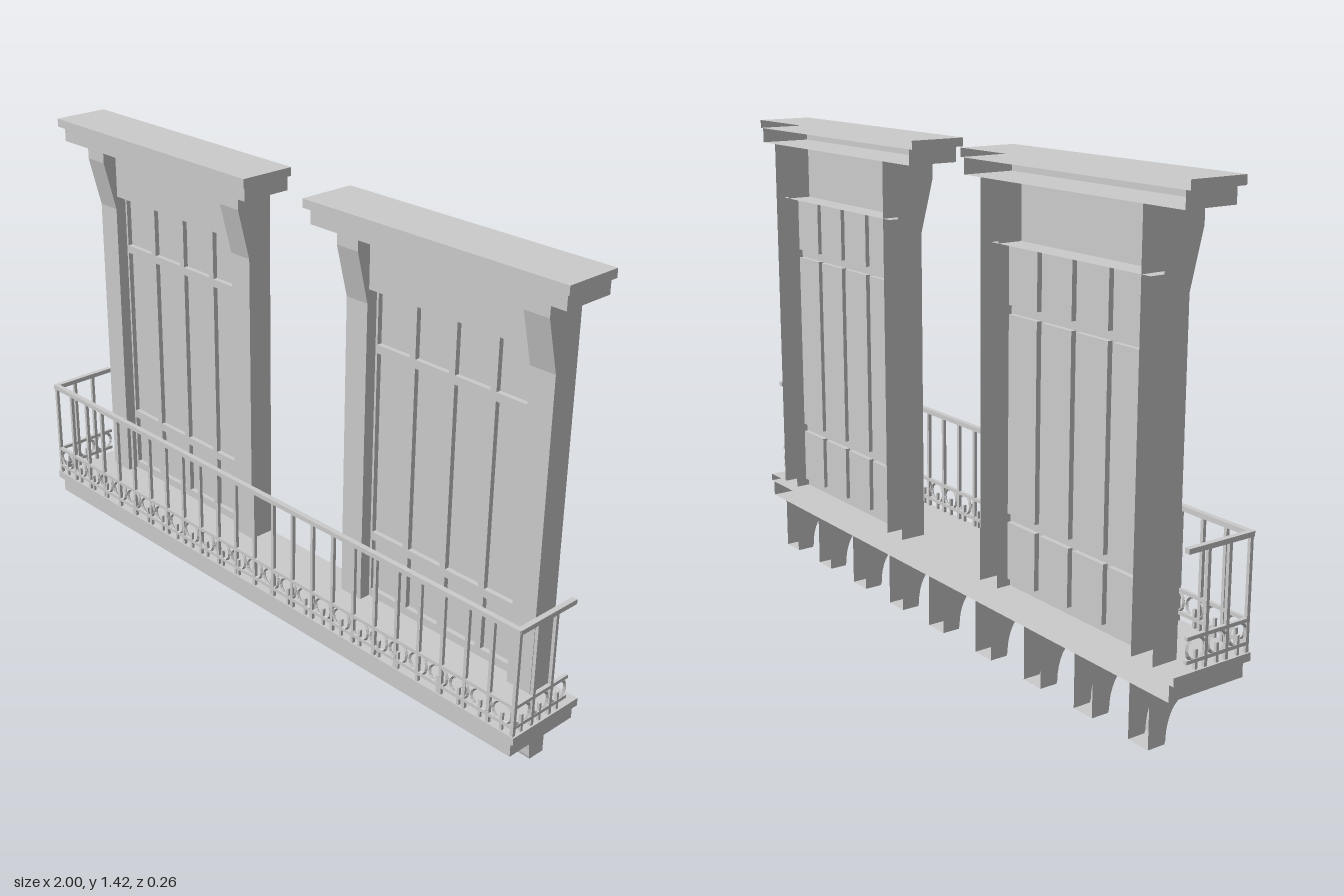
import * as THREE from 'three';

const BACK = -0.13; // wall plane: everything built against it is open at the back
const mat = new THREE.MeshStandardMaterial({ color: 0xcccccc, flatShading: true, side: THREE.DoubleSide });

function add(parent, name, geometry) {
  const mesh = new THREE.Mesh(geometry, mat);
  mesh.name = name;
  parent.add(mesh);
  return mesh;
}

// box given by its limits
function box(x0, x1, y0, y1, z0, z1) {
  return new THREE.BoxGeometry(x1 - x0, y1 - y0, z1 - z0)
    .translate((x0 + x1) / 2, (y0 + y1) / 2, (z0 + z1) / 2);
}

// drop the triangles lying in the plane z = zBack
function openBack(geometry, zBack = BACK) {
  const g = geometry.index ? geometry.toNonIndexed() : geometry;
  const p = g.attributes.position;
  const kept = [];
  for (let i = 0; i < p.count; i += 3) {
    if ([0, 1, 2].every(k => Math.abs(p.getZ(i + k) - zBack) < 1e-5)) continue;
    for (let k = 0; k < 3; k++) kept.push(p.getX(i + k), p.getY(i + k), p.getZ(i + k));
  }
  const out = new THREE.BufferGeometry();
  out.setAttribute('position', new THREE.Float32BufferAttribute(kept, 3));
  out.computeVertexNormals();
  return out;
}

// side profile of [z, y] points, extruded along x and centred on x = 0
function sideProfile(points, width) {
  const shape = new THREE.Shape(points.map(([z, y]) => new THREE.Vector2(-z, y)));
  const g = new THREE.ExtrudeGeometry(shape, { depth: width, bevelEnabled: false });
  return openBack(g.rotateY(Math.PI / 2).translate(-width / 2, 0, 0));
}

function rectPath(path, x0, x1, y0, y1) {
  path.moveTo(x0, y0);
  path.lineTo(x1, y0);
  path.lineTo(x1, y1);
  path.lineTo(x0, y1);
  path.closePath();
  return path;
}

function createWindow(name, centre, corniceCentre) {
  const win = new THREE.Group();
  win.name = name;
  const inner = 0.278, outer = 0.357, doorZ = -0.085, paneZ = -0.1;

  // pilasters flaring into brackets under the cornice
  const profile = [[BACK, 0.225], [-0.05, 0.225], [-0.05, 1.145], [-0.01, 1.3], [-0.01, 1.35], [BACK, 1.35]];
  for (const s of [-1, 1]) {
    add(win, 'pilaster', sideProfile(profile, outer - inner)).position.x = s * (inner + outer) / 2;
  }

  // lintel face and its soffit
  add(win, 'lintel', new THREE.PlaneGeometry(2 * inner, 0.165)).position.set(0, 1.2675, -0.055);
  add(win, 'soffit', new THREE.PlaneGeometry(0.62, 0.075).rotateX(Math.PI / 2)).position.set(0, 1.185, -0.0925);

  // door leaf pierced by a grid of recessed panels
  const leaf = rectPath(new THREE.Shape(), -inner, inner, 0.225, 1.185);
  for (const [y0, y1] of [[0.25, 0.415], [0.44, 0.995], [1.02, 1.18]]) {
    for (let i = 0; i < 4; i++) {
      const x = (i - 1.5) * 0.1405;
      leaf.holes.push(rectPath(new THREE.Path(), x - 0.06, x + 0.06, y0, y1));
      // flip so that the open side of the tray faces forward
      add(win, 'doorPanel', openBack(box(x - 0.06, x + 0.06, y0, y1, paneZ, doorZ), doorZ));
    }
  }
  add(win, 'doorFrame', new THREE.ShapeGeometry(leaf)).position.z = doorZ;

  // two-step cornice
  const c = corniceCentre - centre;
  add(win, 'corniceLower', openBack(box(c - 0.425, c + 0.425, 1.35, 1.395, BACK, 0.03)));
  add(win, 'corniceUpper', openBack(box(c - 0.44, c + 0.44, 1.395, 1.42, BACK, 0.045)));

  win.position.x = centre;
  return win;
}

// straight railing run along local x, from 0 to length
function createRailing(name, length, spans, circles, circleStart, circleStep, lastPost) {
  const run = new THREE.Group();
  run.name = name;
  const t = 0.005;
  add(run, 'handrail', box(-0.006, length + 0.006, 0.531, 0.545, -0.008, 0.008));
  for (const y of [0.312, 0.25]) add(run, 'rail', box(0, length, y - t, y + t, -t, t));
  const step = lastPost / spans;
  for (let i = 0; i <= spans; i++) {
    add(run, 'baluster', box(i * step - t, i * step + t, 0.225, 0.533, -t, t));
  }
  for (let i = 0; i < circles; i++) {
    const x = circleStart + i * circleStep;
    add(run, 'ring', new THREE.TorusGeometry(0.031, 0.005, 4, 14)).position.set(x, 0.28, 0);
    add(run, 'spike', box(x - 0.004, x + 0.004, 0.225, 0.278, -0.004, 0.004));
  }
  return run;
}

export function createModel() {
  const model = new THREE.Group();
  model.name = 'balcony';

  // floor slab in two steps
  add(model, 'slabLower', openBack(box(-0.985, 0.985, 0.155, 0.202, BACK, 0.12)));
  add(model, 'slabUpper', openBack(box(-1, 1, 0.202, 0.225, BACK, 0.13)));

  // corbels with a concave front
  const corbel = [[BACK, 0], [-0.075, 0]];
  for (let i = 0; i <= 8; i++) {
    const a = (i / 8) * Math.PI / 2;
    corbel.push([-0.012 - 0.06 * Math.cos(a), 0.01 + 0.105 * Math.sin(a)]);
  }
  corbel.push([-0.012, 0.155], [BACK, 0.155]);
  for (const x of [-0.88, -0.665, -0.45, -0.225, 0.01, 0.225, 0.437, 0.652, 0.865]) {
    add(model, 'corbel', sideProfile(corbel, 0.074)).position.x = x;
  }

  model.add(createWindow('rightWindow', -0.567, -0.56));
  model.add(createWindow('leftWindow', 0.547, 0.555));

  // railing: front run and two side returns
  const front = createRailing('frontRailing', 1.98, 24, 27, 0.037, 0.0733, 1.98);
  front.position.set(-0.99, 0, 0.122);
  model.add(front);
  for (const s of [-1, 1]) {
    const side = createRailing('sideRailing', 0.207, 2, 3, 0.031, 0.071, 0.142);
    side.rotation.y = Math.PI / 2;
    side.position.set(s * 0.99, 0, 0.122);
    model.add(side);
  }
  return model;
}
